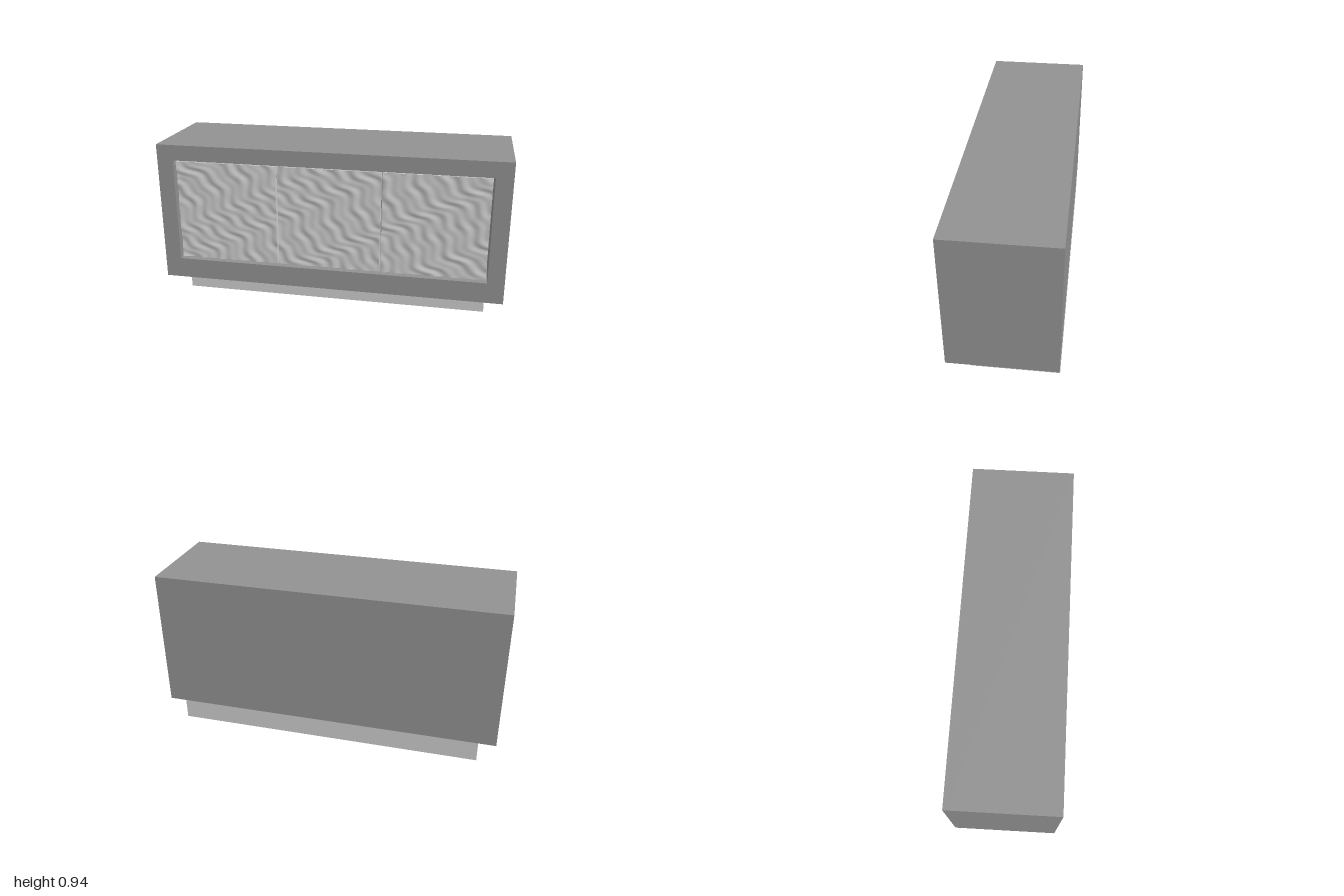
import * as THREE from 'three';

const caseMaterial = new THREE.MeshStandardMaterial({ color: 0x919191 });
const lightMaterial = new THREE.MeshStandardMaterial({ color: 0xcccccc });

function addBox(group, name, material, [w, h, d], [x, y, z]) {
  const mesh = new THREE.Mesh(new THREE.BoxGeometry(w, h, d), material);
  mesh.name = name;
  mesh.position.set(x, y, z);
  group.add(mesh);
}

// Gentle, irregular diagonal ripples, as in hand-carved wood
function ripple(x, y) {
  const u = x * 0.9 + y * 0.45, v = y * 0.9 - x * 0.45;
  const a = u + 0.03 * Math.sin(v * 17 + 1) + 0.015 * Math.sin(v * 41);
  return 0.0022 * Math.sin(a * 62 + 1.5 * Math.sin(v * 13))
    + 0.0018 * Math.sin(a * 97 + v * 29 + 2)
    + 0.0014 * Math.sin(v * 53 - u * 38 + Math.sin(u * 21));
}

// Door slab whose front face is carved by the ripple rule
function carvedDoor(x, y, width, height, depth, frontZ) {
  const geometry = new THREE.BoxGeometry(width, height, depth, 80, 80, 1);
  const p = geometry.attributes.position;
  for (let i = 0; i < p.count; i++) {
    if (p.getZ(i) > 0) p.setZ(i, p.getZ(i) + ripple(p.getX(i) + x, p.getY(i) + y));
  }
  geometry.computeVertexNormals();
  const mesh = new THREE.Mesh(geometry, lightMaterial);
  mesh.position.set(x, y, frontZ - depth / 2);
  return mesh;
}

export function createModel() {
  const model = new THREE.Group();
  model.name = 'sideboard';

  // Case: a thick rectangular ring running front to back, closed by a back panel
  const ring = new THREE.Shape();
  ring.moveTo(-1, 0.12).lineTo(1, 0.12).lineTo(1, 0.94).lineTo(-1, 0.94).closePath();
  const opening = new THREE.Path();
  opening.moveTo(-0.905, 0.24).lineTo(-0.905, 0.85).lineTo(0.905, 0.85).lineTo(0.905, 0.24).closePath();
  ring.holes.push(opening);
  const shell = new THREE.Mesh(
    new THREE.ExtrudeGeometry(ring, { depth: 0.58, bevelEnabled: false }), caseMaterial);
  shell.name = 'caseFrame';
  shell.position.z = -0.28;
  model.add(shell);
  addBox(model, 'backPanel', caseMaterial, [2, 0.82, 0.02], [0, 0.53, -0.29]);

  // Recessed plinth, flush with the back
  addBox(model, 'plinth', lightMaterial, [1.8, 0.12, 0.48], [0, 0.06, -0.06]);

  // Three carved doors set just behind the front edge
  ['rightDoor', 'middleDoor', 'leftDoor'].forEach((name, i) => {
    const door = carvedDoor((i - 1) * 0.6, 0.545, 0.592, 0.592, 0.03, 0.28);
    door.name = name;
    model.add(door);
  });

  return model;
}
